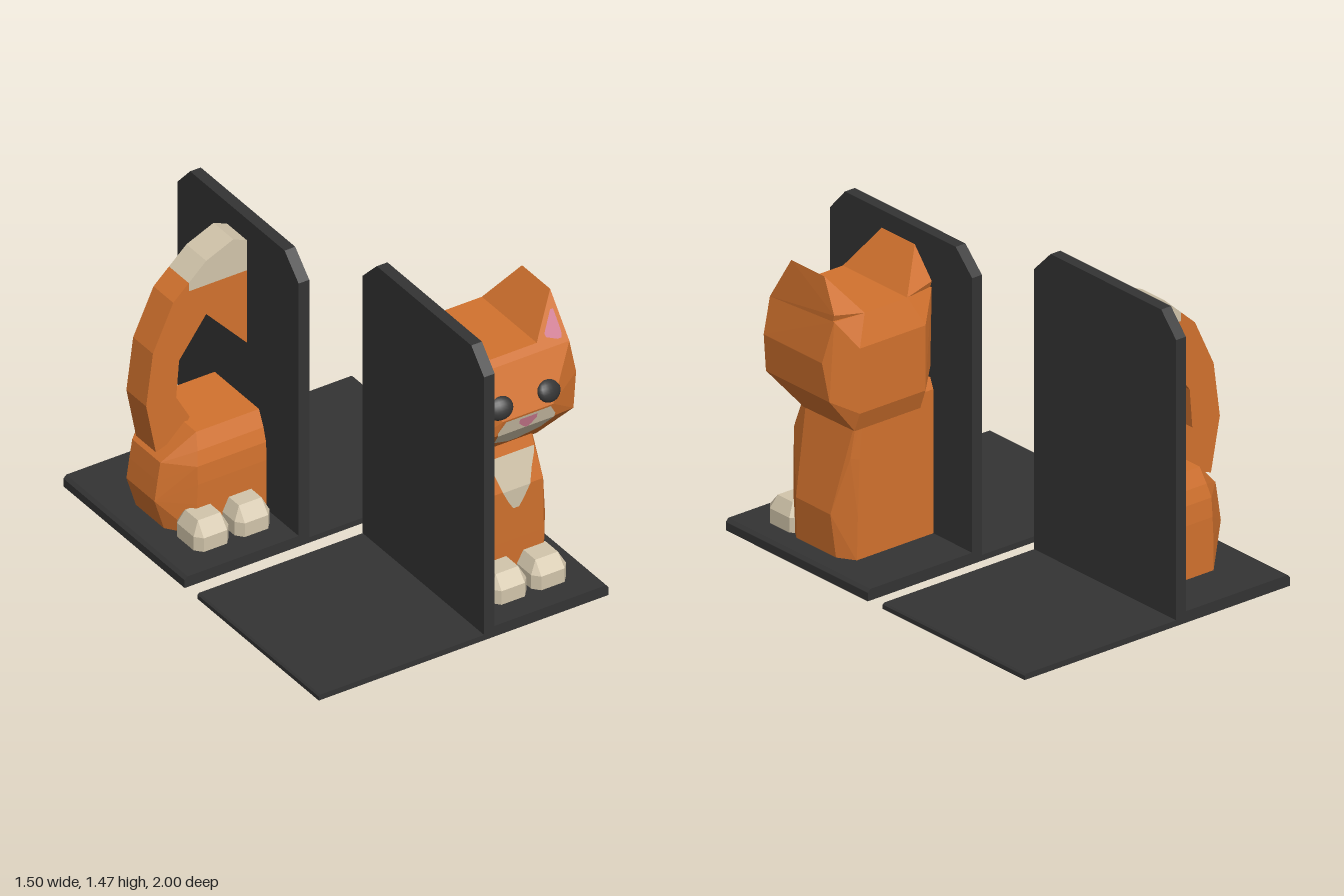
import * as THREE from 'three';
import { ConvexGeometry } from 'three/addons/geometries/ConvexGeometry.js';

const mat = (name, color, side = THREE.FrontSide) => {
  const m = new THREE.MeshStandardMaterial({ color, side });
  m.name = name;
  return m;
};

export function createModel() {
  const charcoal = mat('charcoal', 0x343434);
  const orange = mat('orange', 0xd2722e);
  const cream = mat('cream', 0xd2c5ab, THREE.DoubleSide);
  const pink = mat('pink', 0xd07c92, THREE.DoubleSide);
  const root = new THREE.Group();
  root.name = 'bookends';

  const add = (parent, name, geometry, material) => {
    const m = new THREE.Mesh(geometry, material);
    m.name = name;
    parent.add(m);
    return m;
  };
  const group = (name) => {
    const g = new THREE.Group();
    g.name = name;
    root.add(g);
    return g;
  };
  const hull = (pts) => new ConvexGeometry(pts.map((p) => new THREE.Vector3(...p)));
  const polygon = (pts) => new THREE.Shape(pts.map((p) => new THREE.Vector2(...p)));
  const extrude = (shape, depth) => new THREE.ExtrudeGeometry(shape, { depth, bevelEnabled: false });

  // Depth of a facetted surface at height y, from a [y, z] profile
  const depthAt = (profile, y) => {
    for (let i = 1; i < profile.length; i++) {
      const [y0, z0] = profile[i - 1], [y1, z1] = profile[i];
      if (y <= y0 && y >= y1) return z0 + ((z1 - z0) * (y0 - y)) / (y0 - y1);
    }
    return profile[profile.length - 1][1];
  };

  // Painted patch: rows of [y, xMin, xMax], top to bottom, lying just above a profile
  const patch = (rows, profile, lift = 0.005) => {
    const pos = [], index = [];
    rows.forEach(([y, a, b], i) => {
      const z = depthAt(profile, y) + lift;
      pos.push(a, y, z, b, y, z);
      if (i) {
        const k = 2 * i;
        index.push(k - 2, k, k - 1, k - 1, k, k + 1);
      }
    });
    const g = new THREE.BufferGeometry();
    g.setAttribute('position', new THREE.Float32BufferAttribute(pos, 3));
    g.setIndex(index);
    const flat = g.toNonIndexed();
    flat.computeVertexNormals();
    return flat;
  };

  // Stand: upright panel, stepped plate and an underside with shallow round recesses
  const stand = (name, turn) => {
    const g = group(name);
    g.rotation.y = turn;
    const panel = polygon([[0.05, 0.012], [1, 0.012], [1, 1.36], [0.9, 1.47], [0.16, 1.47], [0.05, 1.36]]);
    const upright = add(g, 'upright', extrude(panel, 0.055), charcoal);
    upright.rotation.y = -Math.PI / 2;
    upright.position.x = 0.16;
    const step = polygon([[-0.748, 0.012], [0.748, 0.012], [0.748, 0.04], [0.733, 0.055],
      [0.105, 0.055], [0.105, 0.028], [-0.74, 0.028], [-0.748, 0.02]]);
    add(g, 'plate', extrude(step, 0.95), charcoal).position.z = 0.05;
    const under = polygon([[-0.748, 0.05], [0.748, 0.05], [0.748, 1], [-0.748, 1]]);
    for (const x of [0.63, -0.16, -0.66]) for (const z of [0.16, 0.9]) {
      under.holes.push(new THREE.Path().absarc(x, z, 0.03, 0, Math.PI * 2, true));
    }
    const underside = add(g, 'underside', extrude(under, 0.012), charcoal);
    underside.rotation.x = Math.PI / 2;
    underside.position.y = 0.012;
  };
  stand('frontStand', 0);
  stand('backStand', Math.PI);

  // Chamfered paw
  const paw = (parent, x, z, height) => {
    const pts = [];
    for (const sx of [-1, 1]) for (const sz of [-1, 1]) {
      for (const y of [0.05, 0.125]) {
        pts.push([x + sx * 0.09, y, z + sz * 0.065], [x + sx * 0.06, y, z + sz * 0.1]);
      }
      pts.push([x + sx * 0.058, height, z + sz * 0.05]);
    }
    add(parent, 'paw', hull(pts), cream);
  };

  // Half body against a wall: sections of [y, faceX, backZ, frontZ, sideX, sideBackZ, sideFrontZ]
  const body = (wall, sections) => hull(sections.flatMap(([y, xf, zb, zf, xs, sb, sf]) => [
    [wall, y, zb], [xf, y, zb], [xs, y, sb], [xs, y, sf], [xf, y, zf], [wall, y, zf],
  ]));

  // Front half of the cat
  const front = group('catFront');
  const C = 0.435; // face centre line
  add(front, 'body', body(0.16, [
    [0.05, 0.59, 0.31, 0.73, 0.64, 0.39, 0.655],
    [0.26, 0.585, 0.31, 0.74, 0.66, 0.405, 0.635],
    [0.53, 0.575, 0.31, 0.75, 0.602, 0.34, 0.67],
    [0.74, 0.555, 0.31, 0.685, 0.57, 0.33, 0.665],
    [0.79, 0.53, 0.33, 0.66, 0.55, 0.35, 0.64],
  ]), orange);
  const chest = [[0.74, 0.685], [0.53, 0.75], [0.26, 0.74]];
  add(front, 'chestPatch', patch([[0.685, 0.12], [0.66, 0.117], [0.6, 0.092], [0.53, 0.07], [0.47, 0.04], [0.43, 0.015]]
    .map(([y, d]) => [y, C - d, C + d]), chest), cream);
  paw(front, 0.335, 0.78, 0.185);
  paw(front, 0.54, 0.78, 0.185);

  // Head: half outline of [offset from centre, y, z], mirrored and cut flat at the panel
  const mirrored = (pts) => pts.flatMap(([d, y, z]) => [[C + d, y, z], [Math.max(0.16, C - d), y, z]]);
  add(front, 'head', hull(mirrored([
    [0.12, 1.225, 0.73], [0.12, 1.225, 0.3], [0.275, 1.19, 0.75], [0.275, 1.22, 0.32],
    [0.15, 1.09, 0.775], [0.13, 0.97, 0.845], [0.148, 0.89, 0.823], [0.135, 0.745, 0.7],
    [0.31, 1.02, 0.75], [0.293, 0.84, 0.755], [0.31, 1.02, 0.36], [0.293, 0.84, 0.33],
    [0.185, 0.68, 0.63], [0.185, 0.685, 0.29], [0.185, 1.09, 0.255], [0.185, 0.78, 0.255],
  ])), orange);
  const face = [[1.4, 0.63], [1.225, 0.73], [1.19, 0.75], [1.09, 0.775], [0.97, 0.845], [0.89, 0.823], [0.745, 0.7]];
  add(front, 'muzzle', patch([[0.965, 0.115], [0.91, 0.148], [0.89, 0.145], [0.81, 0.12], [0.765, 0.025]]
    .map(([y, d]) => [y, C - d, C + d]), face), cream);
  add(front, 'nose', patch([[0.955, 0.045], [0.93, 0.045], [0.905, 0.02], [0.895, 0.005]]
    .map(([y, d]) => [y, C - d, C + d]), face, 0.009), pink);

  for (const s of [-1, 1]) {
    // Ridge-shaped ear with its inner patch
    const ear = [[0.255, 1.4, 0.63], [0.255, 1.4, 0.41], [0.12, 1.225, 0.73], [0.12, 1.225, 0.3],
      [0.275, 1.19, 0.75], [0.275, 1.25, 0.32], [0.275, 1.19, 0.34]];
    add(front, 'ear', hull(ear.map(([d, y, z]) => [C + s * d, y, z])), orange);
    const inner = [[1.33, 0.225, 0.24], [1.25, 0.165, 0.247], [1.235, 0.17, 0.247], [1.215, 0.22, 0.24]];
    add(front, 'innerEar', patch(inner.map(([y, a, b]) =>
      (s > 0 ? [y, C + a, C + b] : [y, C - b, C - a])), face), pink);
    // Low domed eye set along the sloping brow
    const eye = add(front, 'eye', new THREE.SphereGeometry(1, 20, 12), charcoal);
    eye.scale.set(0.065, 0.055, 0.034);
    eye.rotation.set(-0.5, s * 0.25, 0);
    eye.position.set(C + s * 0.128, 1.023, 0.81);
  }

  // Back half of the cat
  const back = group('catBack');
  add(back, 'haunch', body(-0.16, [
    [0.05, -0.52, -0.757, -0.3, -0.61, -0.64, -0.42],
    [0.21, -0.52, -0.757, -0.3, -0.66, -0.64, -0.42],
    [0.31, -0.515, -0.757, -0.3, -0.645, -0.64, -0.42],
    [0.4, -0.515, -0.75, -0.305, -0.63, -0.64, -0.42],
    [0.465, -0.5, -0.735, -0.325, -0.56, -0.67, -0.39],
    [0.54, -0.485, -0.707, -0.36, -0.485, -0.7, -0.365],
  ]), orange);
  paw(back, -0.51, -0.27, 0.19);
  paw(back, -0.298, -0.27, 0.19);

  // Curled tail and its pale tip
  const tail = polygon([[-0.16, 1.205], [-0.46, 1.205], [-0.46, 1.248], [-0.54, 1.175], [-0.645, 0.95],
    [-0.68, 0.69], [-0.63, 0.435], [-0.5, 0.48], [-0.455, 0.555], [-0.525, 0.68], [-0.51, 0.865],
    [-0.37, 1.055], [-0.16, 0.83]]);
  add(back, 'tail', extrude(tail, 0.155), orange).position.z = -0.61;
  const tip = polygon([[-0.16, 1.205], [-0.16, 1.36], [-0.23, 1.39], [-0.37, 1.33], [-0.46, 1.248], [-0.46, 1.205]]);
  add(back, 'tailTip', extrude(tip, 0.155), cream).position.z = -0.61;

  return root;
}
